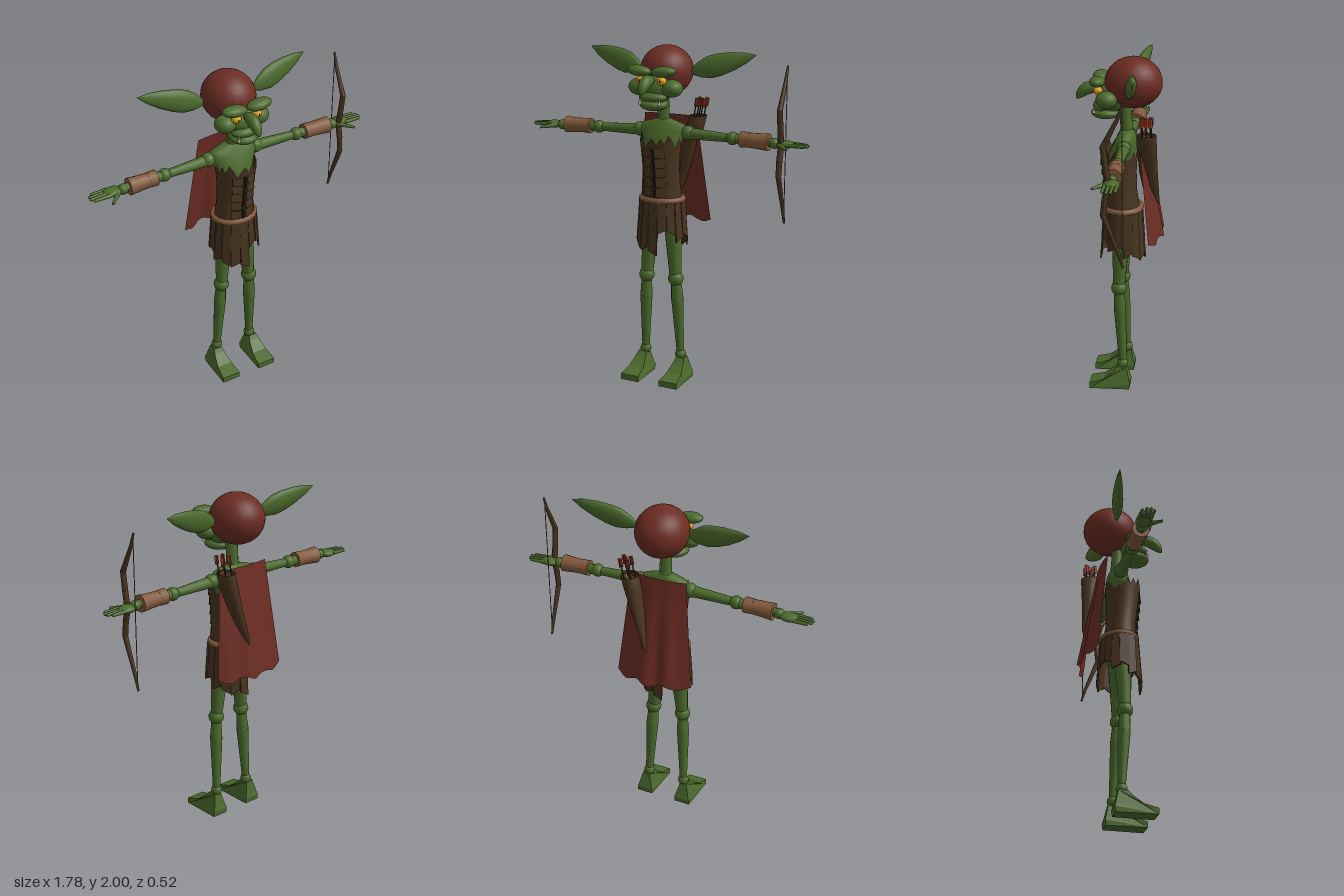
import * as THREE from 'three';

const mat = (name, color, side = THREE.FrontSide) => {
  const m = new THREE.MeshStandardMaterial({ color, side });
  m.name = name;
  return m;
};

export function createModel() {
  const skin = mat('green skin', 0x4b692b);
  const red = mat('red cloth', 0x6c2c23, THREE.DoubleSide);
  const leather = mat('dark leather', 0x47331f, THREE.DoubleSide);
  const tan = mat('tan leather', 0x82593d);
  const yellow = mat('yellow eye', 0xd9a017);
  const black = mat('black', 0x14100c);
  const ivory = mat('ivory tooth', 0xd8d2bd);
  const fletch = mat('orange fletching', 0xa8402a);
  const cord = mat('grey cord', 0x6b6459);

  const model = new THREE.Group();
  model.name = 'goblinArcher';
  const V = (p) => new THREE.Vector3(...p);
  const add = (name, geo, m, pos = [0, 0, 0], rot = [0, 0, 0]) => {
    const mesh = new THREE.Mesh(geo, m);
    mesh.name = name;
    mesh.position.set(...pos);
    mesh.rotation.set(...rot);
    model.add(mesh);
    return mesh;
  };
  const ball = (name, m, pos, r, rot) =>
    add(name, new THREE.SphereGeometry(1, 24, 16).scale(...r), m, pos, rot);
  // tapered rod between two points
  const limb = (name, m, a, b, ra, rb, seg = 14) => {
    const d = V(b).sub(V(a));
    const mesh = add(name, new THREE.CylinderGeometry(rb, ra, d.length(), seg), m);
    mesh.position.copy(V(a)).addScaledVector(d, 0.5);
    mesh.quaternion.setFromUnitVectors(new THREE.Vector3(0, 1, 0), d.normalize());
    return mesh;
  };
  // closed skin over elliptical rings [y, cx, cz, rx, rz]; jag offsets the height of a ring point
  const loft = (rings, seg = 24, jag = () => 0) => {
    const pos = [], idx = [];
    rings.forEach(([y, cx, cz, rx, rz], i) => {
      for (let j = 0; j < seg; j++) {
        const a = (j / seg) * Math.PI * 2;
        pos.push(cx + rx * Math.cos(a), y + jag(i, j, a), cz + rz * Math.sin(a));
        if (i < rings.length - 1) {
          const p = i * seg + j, q = i * seg + (j + 1) % seg;
          idx.push(p, p + seg, q, q, p + seg, q + seg);
        }
      }
    });
    const g = new THREE.BufferGeometry();
    g.setAttribute('position', new THREE.Float32BufferAttribute(pos, 3));
    g.setIndex(idx);
    g.computeVertexNormals();
    return g;
  };
  const bendVerts = (g, fn) => {
    const p = g.attributes.position, v = new THREE.Vector3();
    for (let i = 0; i < p.count; i++) {
      fn(v.fromBufferAttribute(p, i));
      p.setXYZ(i, v.x, v.y, v.z);
    }
    g.computeVertexNormals();
    return g;
  };

  // head
  ball('cap', red, [0, 1.853, -0.077], [0.153, 0.147, 0.165]);
  ball('face', skin, [0, 1.765, 0.045], [0.1, 0.085, 0.085]);
  ball('upperLip', skin, [0, 1.718, 0.1], [0.085, 0.032, 0.055]);
  ball('jaw', skin, [0, 1.675, 0.08], [0.084, 0.036, 0.085]);
  const nose = bendVerts(new THREE.SphereGeometry(1, 20, 16).scale(0.034, 0.036, 0.085),
    (v) => { v.y -= 4 * v.z * v.z; });
  add('nose', nose, skin, [0, 1.812, 0.185], [0.38, 0, 0]);

  // ear profile, revolved and then flattened
  const earPts = [[0, 0], [0.022, 0.01], [0.045, 0.05], [0.064, 0.11], [0.064, 0.17],
    [0.052, 0.25], [0.03, 0.33], [0, 0.395]].map((p) => new THREE.Vector2(...p));
  const earGeo = new THREE.LatheGeometry(earPts, 24).scale(1, 1, 0.48);

  // side profile of the foot as (z, y), narrowed towards the ankle
  const footShape = new THREE.Shape([[0.165, 0], [0.165, 0.035], [0.08, 0.06], [0.02, 0.11], [0, 0.135],
    [-0.055, 0.135], [-0.075, 0.05], [-0.08, 0.035], [-0.075, 0]].map((p) => new THREE.Vector2(...p)));
  const footGeo = bendVerts(
    new THREE.ExtrudeGeometry(footShape, { depth: 2, bevelEnabled: false }).translate(0, 0, -1).rotateY(-Math.PI / 2),
    (v) => {
      const half = v.y < 0.04 ? 0.058 : THREE.MathUtils.mapLinear(v.y, 0.04, 0.135, 0.054, 0.026);
      v.x *= half * (v.z < -0.02 ? 0.85 : 1);
    });

  for (const s of [-1, 1]) {
    ball('brow', skin, [s * 0.078, 1.868, 0.12], [0.076, 0.031, 0.045], [0, 0, s * 0.08]);
    ball('eye', yellow, [s * 0.066, 1.815, 0.118], [0.028, 0.024, 0.026]);
    ball('pupil', black, [s * 0.066, 1.815, 0.141], [0.006, 0.008, 0.004]);
    ball('cheek', skin, [s * 0.105, 1.77, 0.065], [0.062, 0.05, 0.062]);
    const tusk = new THREE.ConeGeometry(0.009, 0.045, 8);
    add('tusk', tusk, ivory, [s * 0.062, 1.705, 0.142]);
    const ear = add('ear', earGeo, skin, [s * 0.16, 1.853, -0.072]);
    ear.quaternion.setFromUnitVectors(new THREE.Vector3(0, 1, 0),
      new THREE.Vector3(s * 0.375, 0.108, -0.06).normalize());

    // arm
    const y = 1.495, z = -0.04;
    ball('shoulder', skin, [s * 0.155, 1.505, z], [0.045, 0.042, 0.042]);
    limb('upperArm', skin, [s * 0.16, 1.502, z], [s * 0.42, y, z], 0.034, 0.024);
    ball('elbow', skin, [s * 0.435, y, z], [0.038, 0.038, 0.038]);
    limb('forearm', skin, [s * 0.44, y, z], [s * 0.69, 1.49, z], 0.03, 0.024);
    limb('bracer', tan, [s * 0.5, y, z], [s * 0.65, 1.492, z], 0.041, 0.047);
    limb('bracerInnerCuff', tan, [s * 0.488, y, z], [s * 0.54, y, z], 0.046, 0.043);
    limb('bracerOuterCuff', tan, [s * 0.6, 1.492, z], [s * 0.658, 1.492, z], 0.045, 0.05);
    ball('wrist', skin, [s * 0.69, 1.488, z], [0.032, 0.03, 0.032]);
    ball('palm', skin, [s * 0.75, 1.487, -0.048], [0.056, 0.023, 0.044]);
    [0.868, 0.887, 0.89, 0.875].forEach((tip, i) => {
      const fz = -0.08 + i * 0.022;
      limb('finger', skin, [s * 0.77, 1.488, fz], [s * (tip - 0.008), 1.486, fz], 0.012, 0.009, 8);
      ball('fingertip', skin, [s * (tip - 0.008), 1.486, fz], [0.01, 0.009, 0.009]);
    });
    limb('thumb', skin, [s * 0.725, 1.485, -0.025], [s * 0.795, 1.475, 0.05], 0.016, 0.007, 8);

    // leg
    limb('thigh', skin, [s * 0.07, 1.0, -0.015], [s * 0.095, 0.63, -0.005], 0.056, 0.034);
    ball('knee', skin, [s * 0.097, 0.63, -0.005], [0.046, 0.046, 0.046]);
    limb('upperShin', skin, [s * 0.099, 0.61, -0.007], [s * 0.104, 0.5, -0.012], 0.03, 0.037);
    limb('lowerShin', skin, [s * 0.104, 0.5, -0.012], [s * 0.118, 0.15, -0.03], 0.037, 0.022);
    ball('ankle', skin, [s * 0.118, 0.15, -0.03], [0.033, 0.035, 0.033]);
    add('foot', footGeo, skin, [s * 0.128, 0, 0]);
  }

  // neck and torso
  limb('neck', skin, [0, 1.53, -0.04], [0, 1.72, -0.03], 0.036, 0.034);
  add('torso', loft([
    [0.95, 0, -0.015, 0.02, 0.02], [0.98, 0, -0.015, 0.11, 0.085], [1.1, 0, -0.015, 0.12, 0.09],
    [1.2, 0, -0.01, 0.1, 0.078], [1.36, 0, -0.005, 0.106, 0.085], [1.45, 0, -0.02, 0.12, 0.078],
    [1.52, 0, -0.035, 0.155, 0.06], [1.55, 0, -0.038, 0.135, 0.05], [1.58, 0, -0.04, 0.035, 0.035],
  ]), skin);

  // ragged vest with a laced front seam
  const ragged = [0.03, 0.01, -0.03, 0.02, 0.05, 0.0, 0.035, -0.01];
  add('vest', loft([
    [1.08, 0, -0.015, 0.13, 0.105], [1.2, 0, -0.01, 0.113, 0.09], [1.32, 0, 0.0, 0.112, 0.096],
    [1.4, 0, 0.002, 0.118, 0.102], [1.45, 0, 0.003, 0.124, 0.106],
  ], 32, (i, j) => (i === 4 ? ragged[j % 8] : 0)), leather);
  [[1.12, 0.088], [1.2, 0.083], [1.32, 0.098], [1.42, 0.108]].forEach(([y, z], i, all) => {
    if (i) limb('vestSeam', black, [0, all[i - 1][0], all[i - 1][1]], [0, y, z], 0.004, 0.004, 6);
  });
  for (let i = 0; i < 5; i++) {
    for (const s of [-1, 1]) {
      add('vestPanel', new THREE.BoxGeometry(0.062, 0.05, 0.009), leather,
        [s * 0.042, 1.16 + i * 0.058, 0.079 + Math.max(0, i - 1) * 0.006], [-0.12, s * 0.35, s * 0.06]);
    }
  }

  // belt and skirt of hanging strips
  const belt = new THREE.TorusGeometry(1, 0.16, 12, 40).rotateX(Math.PI / 2).scale(0.123, 0.115, 0.103);
  add('belt', belt, tan, [0, 1.11, -0.02]);
  add('skirtBand', loft([[0.97, 0, -0.018, 0.14, 0.11], [1.1, 0, -0.018, 0.128, 0.104]], 32,
    (i, j) => (i ? 0 : ragged[j % 8])), leather);
  const drops = [0.2, 0.28, 0.18, 0.25, 0.3, 0.22, 0.27, 0.17];
  for (let i = 0; i < 16; i++) {
    const a = Math.PI / 2 + (i / 16) * Math.PI * 2, len = drops[(i * 5 + 4) % 8];
    const strip = bendVerts(new THREE.BoxGeometry(0.056, len, 0.009, 1, 3, 1).translate(0, -len / 2, 0),
      (v) => { if (v.y < -len * 0.9) v.y += v.x * (i % 2 ? 0.5 : -0.5); });
    const pivot = add('skirtStrip', strip, leather,
      [0.134 * Math.cos(a), 1.1, -0.018 + 0.108 * Math.sin(a)]);
    pivot.rotation.order = 'YXZ';
    pivot.rotation.set(-0.07, Math.PI / 2 - a, 0);
  }

  // cape, bowed and rippling towards a worn hem
  add('cape', bendVerts(new THREE.PlaneGeometry(2, 1, 24, 12), (v) => {
    const u = v.x, t = 0.5 - v.y;
    v.x = u * (0.17 + 0.065 * t);
    v.y = 1.59 - 0.64 * t - 0.012 * t * Math.cos(u * 9);
    v.z = -0.125 - 0.065 * t - (0.02 + 0.045 * t) * (1 - u * u) - 0.012 * t * Math.sin(u * 10) * (1 - u * u);
  }), red);

  // quiver, narrowing to a flat point, with arrows
  add('quiver', loft([
    [1.13, 0.03, -0.205, 0.004, 0.02], [1.17, 0.04, -0.195, 0.017, 0.04], [1.35, 0.095, -0.175, 0.038, 0.053],
    [1.52, 0.142, -0.168, 0.05, 0.057], [1.59, 0.16, -0.168, 0.05, 0.057], [1.57, 0.157, -0.168, 0.04, 0.047],
    [1.56, 0.155, -0.168, 0.001, 0.001],
  ], 20), leather);
  [[-0.025, -0.025], [0.02, -0.025], [-0.002, 0], [-0.022, 0.026], [0.022, 0.026]].forEach(([dx, dz]) => {
    const x = 0.155 + dx, z = -0.168 + dz;
    limb('arrowShaft', leather, [x - 0.01, 1.5, z], [x + 0.026, 1.66, z], 0.004, 0.004, 6);
    for (const r of [0, Math.PI / 2]) {
      add('arrowFletching', new THREE.BoxGeometry(0.024, 0.052, 0.004), fletch, [x + 0.027, 1.667, z], [0, r, -0.2 * Math.cos(r)]);
    }
  });

  // bow in the left hand
  const bx = 0.733;
  const bow = [[1.02, -0.105, 0.006], [1.1, -0.082, 0.01], [1.31, 0.0, 0.016], [1.4, -0.01, 0.017], [1.48, -0.03, 0.018],
    [1.56, -0.016, 0.017], [1.68, 0.0, 0.016], [1.84, -0.08, 0.01], [1.915, -0.105, 0.006]];
  bow.forEach(([y, z, r], i) => {
    if (!i) return;
    const [py, pz, pr] = bow[i - 1];
    limb('bowLimb', leather, [bx, py, pz], [bx, y, z], pr, r, 10);
    if (i < bow.length - 1) ball('bowJoint', leather, [bx, y, z], [r, r, r]);
  });
  limb('bowString', cord, [bx, 1.03, -0.1], [bx, 1.905, -0.1], 0.0025, 0.0025, 6);

  return model;
}
